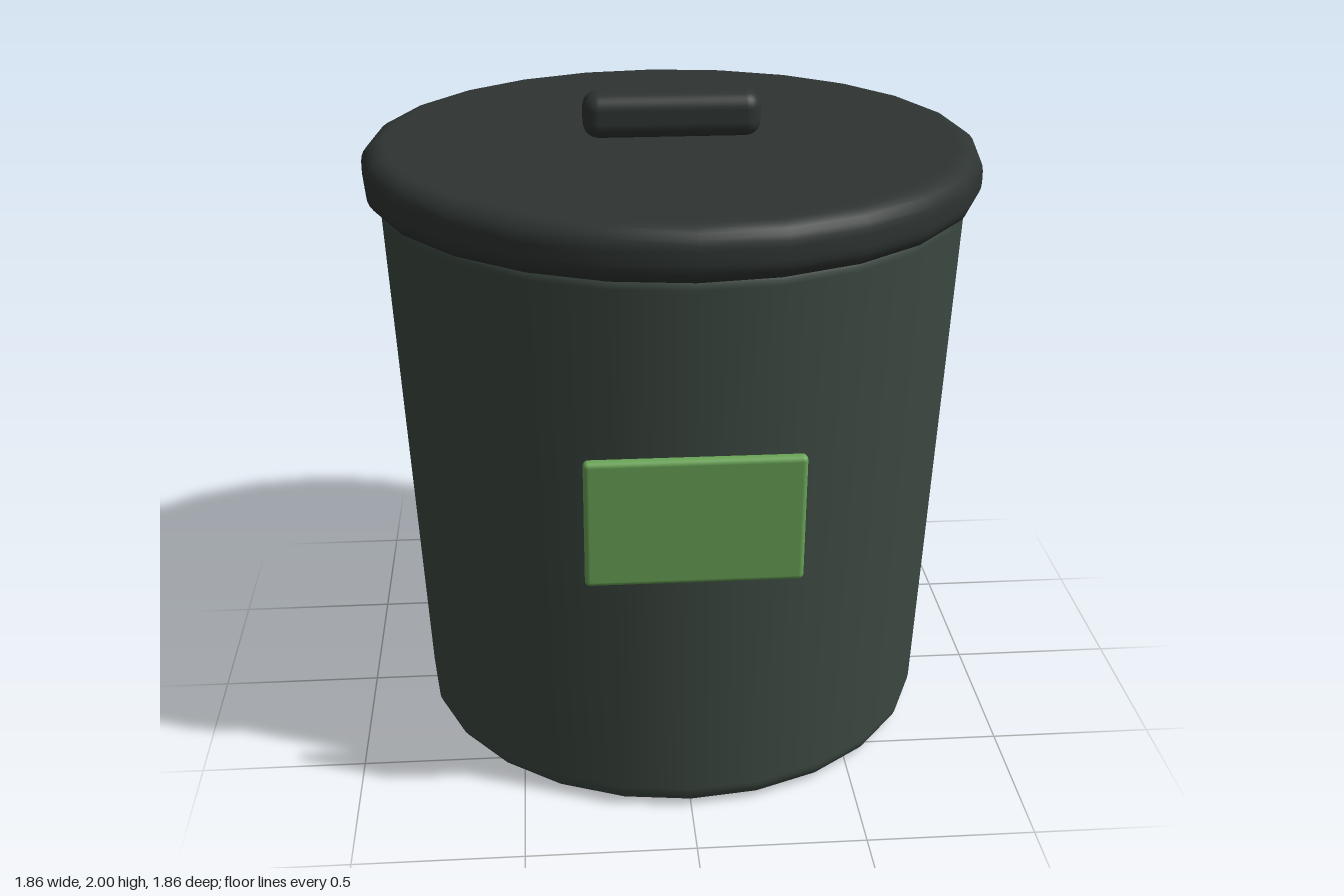
import * as THREE from 'three';
import { RoundedBoxGeometry } from 'three/addons/geometries/RoundedBoxGeometry.js';

const SIDES = 24;

// Closed, turned solid with rounded lower and upper rims
function roundedDrum(rBottom, rTop, y0, y1, bevelBottom, bevelTop, steps = 6) {
  const points = [new THREE.Vector2(0, y0), new THREE.Vector2(rBottom - bevelBottom - 0.01, y0)];
  const arc = (cx, cy, r, from) => {
    for (let i = 0; i <= steps; i++) {
      const a = from + (i / steps) * Math.PI / 2;
      points.push(new THREE.Vector2(cx + r * Math.cos(a), cy + r * Math.sin(a)));
    }
  };
  arc(rBottom - bevelBottom, y0 + bevelBottom, bevelBottom, -Math.PI / 2);
  arc(rTop - bevelTop, y1 - bevelTop, bevelTop, 0);
  points.push(new THREE.Vector2(rTop - bevelTop - 0.01, y1), new THREE.Vector2(0, y1));
  return new THREE.LatheGeometry(points, SIDES);
}

export function createModel() {
  const group = new THREE.Group();
  const bodyMaterial = new THREE.MeshStandardMaterial({ color: 0x3d4942 });
  const lidMaterial = new THREE.MeshStandardMaterial({ color: 0x2e3432 });
  const labelMaterial = new THREE.MeshStandardMaterial({ color: 0x6aa557 });

  const add = (name, geometry, material, x = 0, y = 0, z = 0) => {
    const mesh = new THREE.Mesh(geometry, material);
    mesh.name = name;
    mesh.position.set(x, y, z);
    group.add(mesh);
    return mesh;
  };

  // Tapered bin body, its top tucked just inside the lid
  add('body', roundedDrum(0.803, 0.885, 0, 1.73, 0.065, 0.05), bodyMaterial);

  // Overhanging lid with a soft rim
  add('lid', roundedDrum(0.932, 0.932, 1.7, 1.865, 0.065, 0.065), lidMaterial);

  // Bar handle resting on the lid
  add('handle', new RoundedBoxGeometry(0.535, 0.135, 0.132, 4, 0.048), lidMaterial, 0, 1.9325, 0);

  // Flat front plate, leaning with the taper of the body
  const label = add('label', new RoundedBoxGeometry(0.615, 0.392, 0.036, 3, 0.015), labelMaterial, 0, 1.004, 0.869);
  label.rotation.x = 0.06;

  return group;
}
